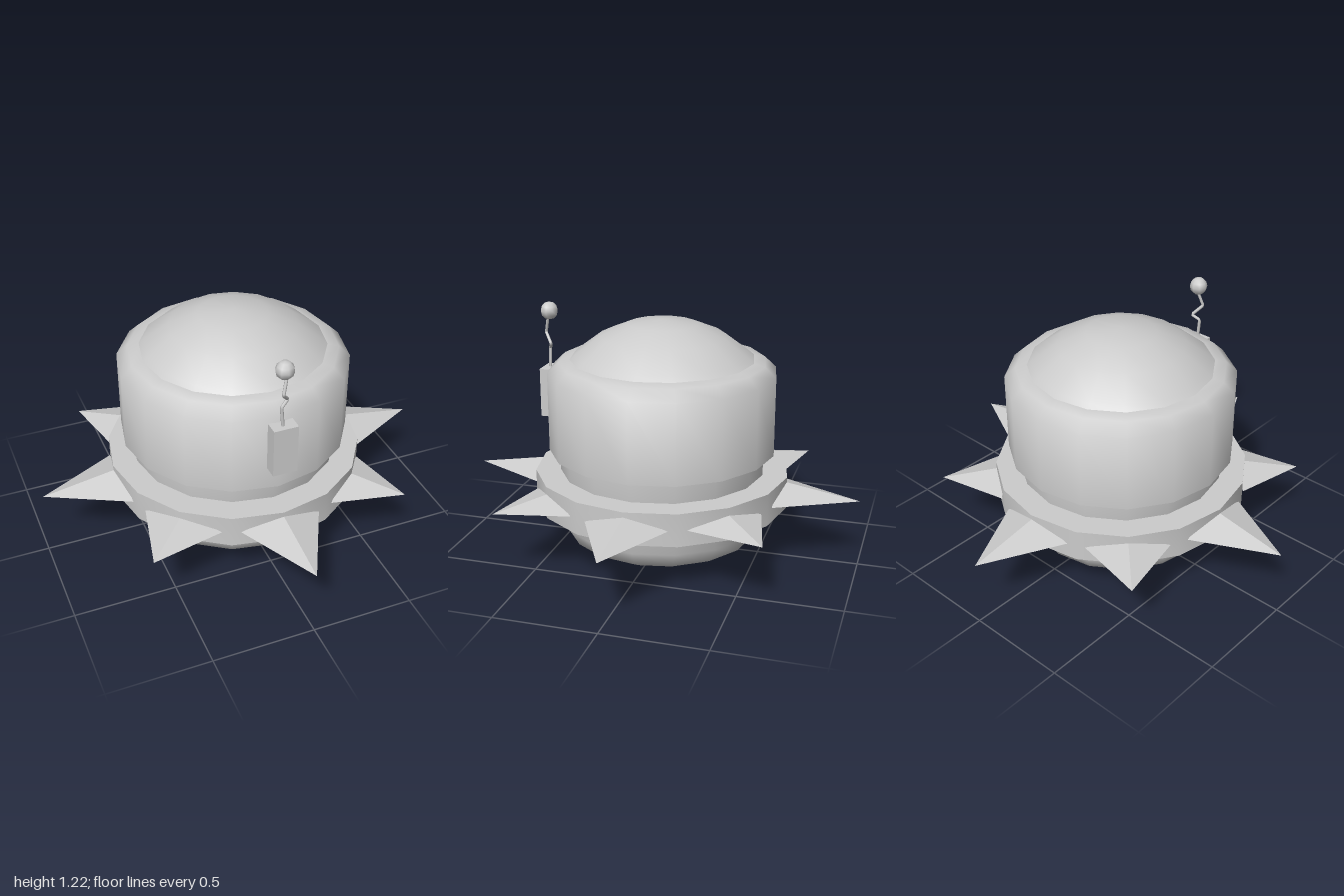
import * as THREE from 'three';
import { toCreasedNormals } from 'three/addons/utils/BufferGeometryUtils.js';

const SIDES = 16;

export function createModel() {
  const model = new THREE.Group();
  const smooth = new THREE.MeshStandardMaterial({ color: 0xcccccc });
  const faceted = new THREE.MeshStandardMaterial({ color: 0xcccccc, flatShading: true });

  const add = (name, geometry, material, parent = model) => {
    const mesh = new THREE.Mesh(geometry, material);
    mesh.name = name;
    parent.add(mesh);
    return mesh;
  };
  // Turned part from a [radius, height] profile, bottom to top
  const turned = (name, profile) => {
    const points = profile.map(([r, y]) => new THREE.Vector2(r, y));
    return add(name, toCreasedNormals(new THREE.LatheGeometry(points, SIDES), 0.9), smooth);
  };

  // Body
  turned('lowerBody', [[0, 0.005], [0.28, 0.027], [0.4, 0.048], [0.47, 0.085], [0.513, 0.16], [0.513, 0.54]]);
  turned('upperBody', [[0.5, 0.527], [0.565, 0.527], [0.565, 0.92], [0.51, 0.972], [0.45, 0.985], [0, 0.985]]);
  turned('dome', [[0.47, 0.97], [0.43, 1.005], [0.31, 1.095], [0.17, 1.153], [0, 1.175]]);

  // Spiked collar
  turned('collar', [[0.5, 0.26], [0.635, 0.26], [0.635, 0.422], [0.5, 0.422]]);
  for (let i = 0; i < 8; i++) {
    const long = i % 2 === 0;
    const base = 0.6;
    const length = (long ? 0.995 : 0.91) - base;
    const geometry = new THREE.ConeGeometry(1, 1, 4)
      .translate(0, 0.5, 0)
      .scale(0.2, length, long ? 0.065 : 0.052)
      .rotateX(Math.PI / 2)
      .translate(0, 0.338, base)
      .rotateY((i * Math.PI) / 4);
    add(`spike${i + 1}`, geometry, faceted);
  }

  // Antenna: housing, kinked wire and ball tip
  const antenna = new THREE.Group();
  antenna.name = 'antenna';
  model.add(antenna);
  add('antennaBox', new THREE.BoxGeometry(0.12, 0.247, 0.07), faceted, antenna).position.set(0.003, 0.768, 0.59);

  const kinks = [[0, 0.88, 0.592], [-0.01, 0.99, 0.592], [0.028, 1.015, 0.572], [-0.012, 1.065, 0.613], [0.015, 1.16, 0.588]]
    .map((p) => new THREE.Vector3(...p));
  const path = new THREE.CurvePath();
  for (let i = 1; i < kinks.length; i++) path.add(new THREE.LineCurve3(kinks[i - 1], kinks[i]));
  add('antennaWire', new THREE.TubeGeometry(path, 32, 0.008, 6), smooth, antenna);
  add('antennaBall', new THREE.SphereGeometry(0.045, 8, 6), smooth, antenna).position.set(0.003, 1.18, 0.587);

  return model;
}
